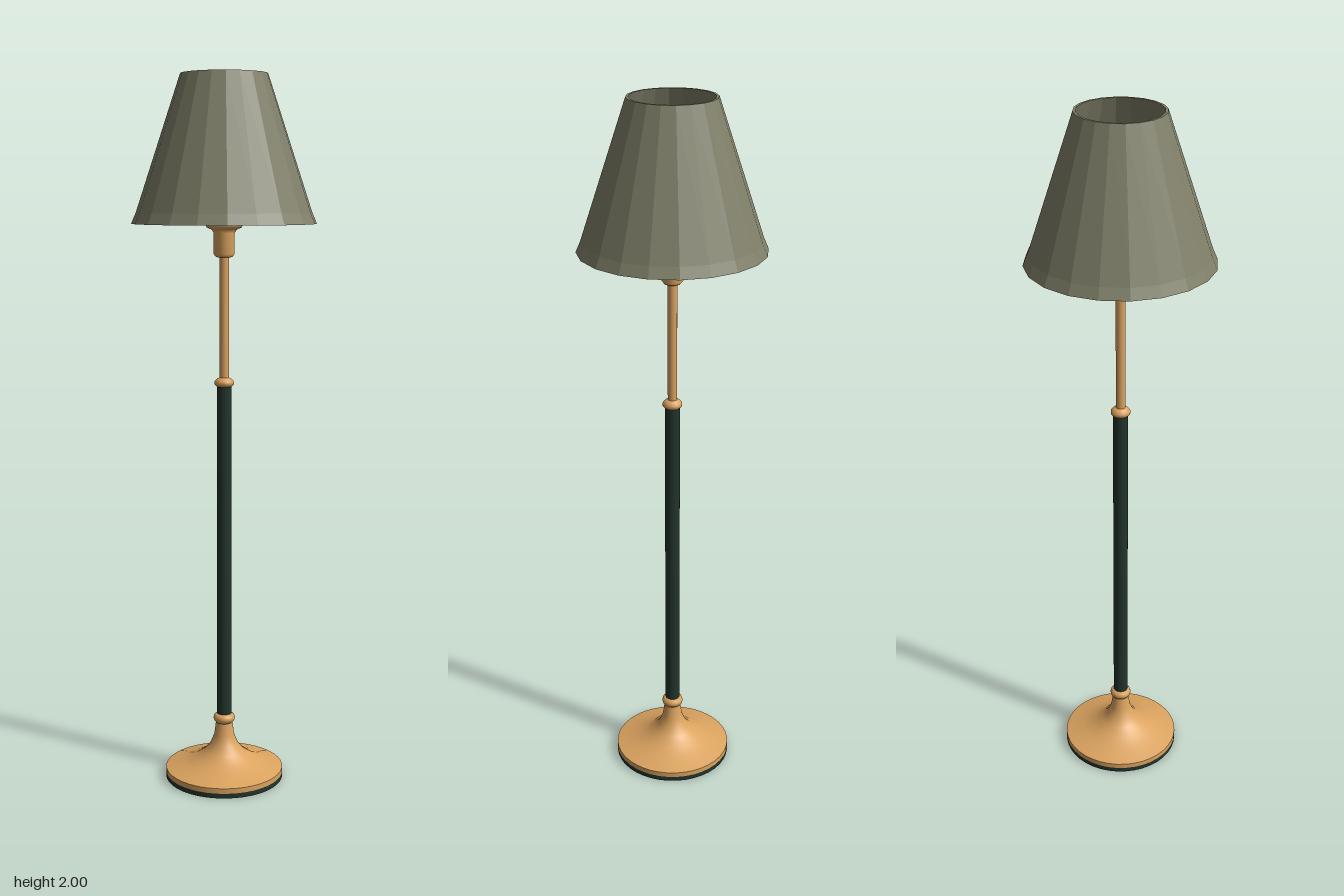
import * as THREE from 'three';

const mat = (name, color, extra = {}) => {
  const m = new THREE.MeshStandardMaterial({ color, ...extra });
  m.name = name;
  return m;
};

export function createModel() {
  const lamp = new THREE.Group();
  lamp.name = 'floorLamp';

  const brass = mat('brass', 0xdba35f);
  const green = mat('darkGreen', 0x22342b);
  const fabric = mat('shadeFabric', 0x80806a, { flatShading: true, side: THREE.DoubleSide });
  const glass = mat('bulbWhite', 0xe2e2e0);
  const darkRed = mat('darkRed', 0x35100b, { side: THREE.DoubleSide });

  const add = (name, geometry, material) => {
    const mesh = new THREE.Mesh(geometry, material);
    mesh.name = name;
    lamp.add(mesh);
    return mesh;
  };
  // Turned part from [radius, height] pairs, listed bottom to top
  const turned = (name, pts, material, sides = 32) =>
    add(name, new THREE.LatheGeometry(pts.map(([r, y]) => new THREE.Vector2(r, y)), sides), material);
  const rod = (name, r, y0, y1, material, sides = 24) => {
    const mesh = add(name, new THREE.CylinderGeometry(r, r, y1 - y0, sides), material);
    mesh.position.y = (y0 + y1) / 2;
    return mesh;
  };

  // Foot: green pad under a flared brass base
  rod('footPad', 0.17, 0, 0.014, green, 40);
  rod('footRim', 0.17, 0.014, 0.029, brass, 40);
  turned('footFlare', [
    [0.17, 0.029], [0.145, 0.036], [0.115, 0.045], [0.085, 0.058], [0.058, 0.076],
    [0.04, 0.098], [0.029, 0.125], [0.024, 0.163],
  ], brass, 40);
  turned('footCollar', [
    [0, 0.16], [0.022, 0.162], [0.029, 0.168], [0.031, 0.176], [0.029, 0.184], [0.022, 0.19], [0, 0.191],
  ], brass);

  // Stem
  rod('pole', 0.021, 0.185, 1.155, green);
  turned('poleCollar', [
    [0, 1.149], [0.021, 1.15], [0.027, 1.156], [0.027, 1.164], [0.021, 1.171], [0.013, 1.175],
  ], brass);
  rod('upperRod', 0.013, 1.16, 1.53, brass);

  // Bulb socket with its flange
  turned('socket', [
    [0, 1.508], [0.022, 1.509], [0.029, 1.517], [0.029, 1.575], [0.035, 1.584], [0.049, 1.59],
    [0.051, 1.6], [0.044, 1.612], [0.03, 1.616], [0.025, 1.624], [0.025, 1.71], [0.018, 1.72], [0, 1.72],
  ], brass);

  // Bulb
  turned('bulb', [
    [0, 1.715], [0.018, 1.718], [0.022, 1.735], [0.037, 1.757], [0.047, 1.775], [0.05, 1.793],
    [0.047, 1.811], [0.037, 1.828], [0.02, 1.839], [0, 1.843],
  ], glass);

  // Two flared clip plates beside the bulb, each with pale edge wires
  for (const s of [-1, 1]) {
    const low = [s * 0.03, 1.622], high = [s * 0.054, 1.77];
    const plate = new THREE.BufferGeometry();
    plate.setAttribute('position', new THREE.Float32BufferAttribute([
      ...low, -0.022, ...low, 0.022, ...high, 0.044, ...high, -0.044,
    ], 3));
    plate.setIndex(s > 0 ? [0, 2, 1, 0, 3, 2] : [0, 1, 2, 0, 2, 3]);
    plate.computeVertexNormals();
    add('clipPlate', plate, darkRed);
    for (const t of [-1, 1]) {
      const wire = new THREE.LineCurve3(
        new THREE.Vector3(...high, t * 0.042), new THREE.Vector3(s * 0.03, 1.785, t * 0.028));
      add('clipWire', new THREE.TubeGeometry(wire, 1, 0.005, 8), glass);
    }
  }

  // Faceted shade, open at both ends, with a thin wall
  turned('shade', [
    [0.249, 1.6], [0.255, 1.6], [0.242, 1.63], [0.119, 2], [0.112, 2], [0.236, 1.63], [0.249, 1.6],
  ], fabric, 20);

  return lamp;
}
